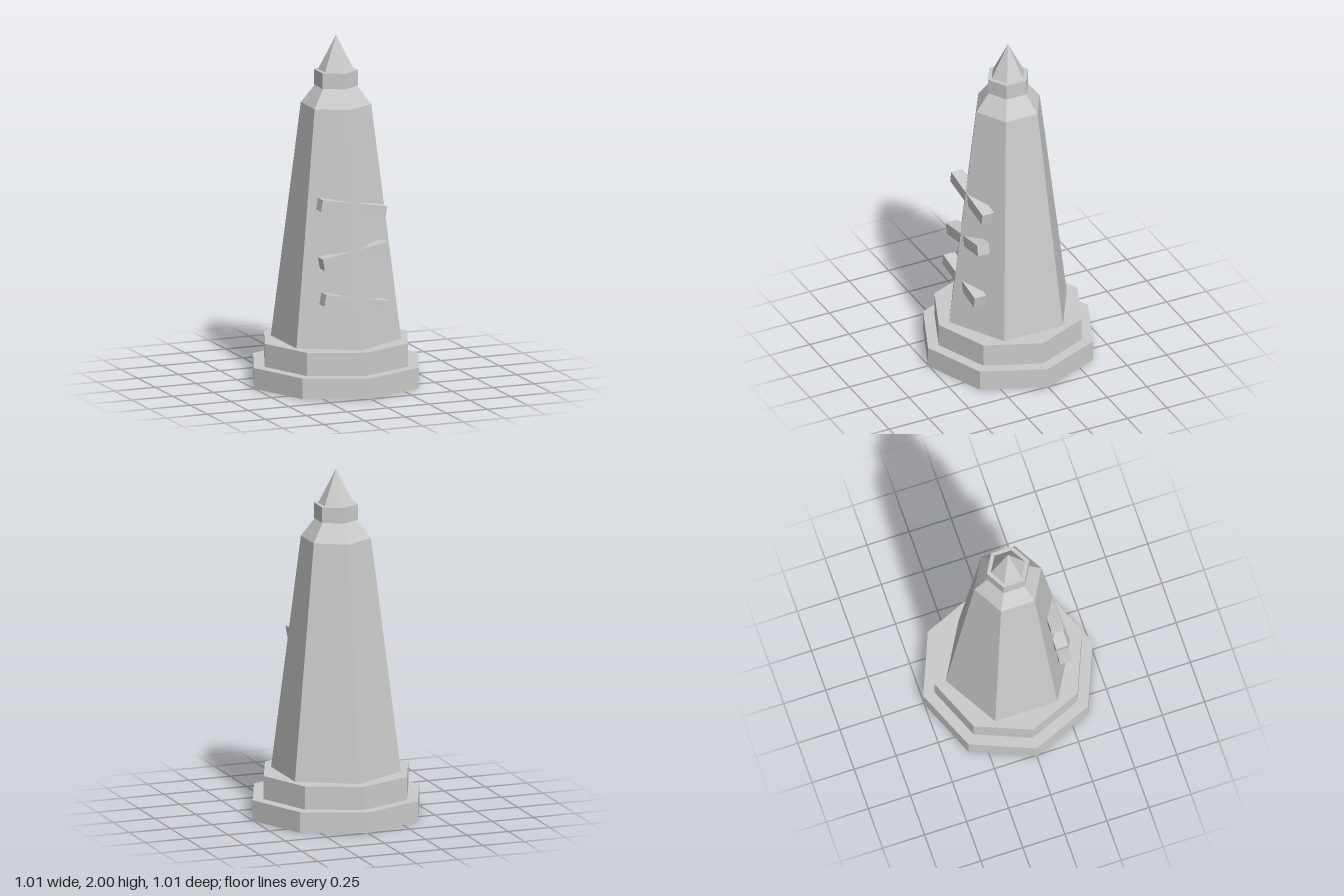
import * as THREE from 'three';

export function createModel() {
  const model = new THREE.Group();
  model.name = 'obelisk';
  const material = new THREE.MeshStandardMaterial({ color: 0xcccccc, flatShading: true });

  const add = (name, geometry, x, y, z) => {
    const mesh = new THREE.Mesh(geometry, material);
    mesh.name = name;
    mesh.position.set(x, y, z);
    model.add(mesh);
    return mesh;
  };

  // Upright prism or frustum between two heights, with a corner facing +z
  const tier = (name, sides, rBottom, rTop, y0, y1) =>
    add(name, new THREE.CylinderGeometry(rTop, rBottom, y1 - y0, sides), 0, (y0 + y1) / 2, 0);

  // Octagonal stepped base
  tier('lowerStep', 8, 0.504, 0.504, 0, 0.12);
  tier('upperStep', 8, 0.437, 0.437, 0.12, 0.254);

  // Hexagonal tapering tower
  tier('shaft', 6, 0.37, 0.2, 0.254, 1.605);
  tier('shoulder', 6, 0.2, 0.12, 1.605, 1.71);
  tier('collar', 6, 0.126, 0.126, 1.71, 1.8);

  // Pointed cap
  add('spire', new THREE.ConeGeometry(0.102, 0.2, 6), 0, 1.9, 0);

  // Tilted bars set through the front corner, alternating in slope
  const bars = [
    [0.51, 0.275, -1],
    [0.78, 0.254, 1],
    [1.047, 0.226, -1],
  ];
  for (const [y, z, slope] of bars) {
    const bar = add('frontBar', new THREE.BoxGeometry(0.4, 0.067, 0.073), 0, y, z);
    bar.rotation.z = slope * THREE.MathUtils.degToRad(10);
  }

  return model;
}
